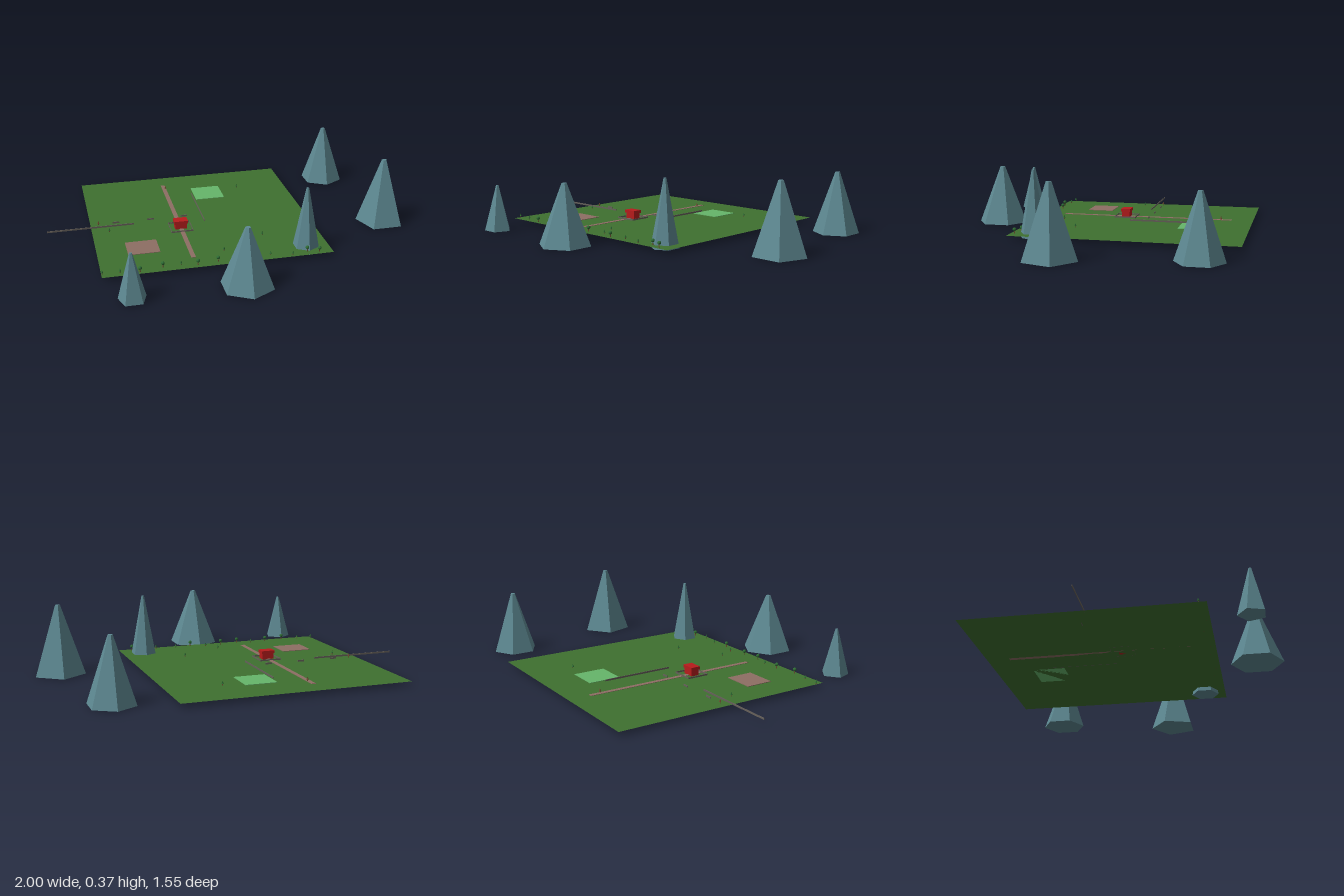
import * as THREE from 'three';

const mat = (color, extra = {}) => new THREE.MeshStandardMaterial({ color, flatShading: true, ...extra });
const rock = mat(0x5d8891), grass = mat(0x3f7030, { side: THREE.DoubleSide }), crop = mat(0x66b56a);
const soil = mat(0x8d6e63), stone = mat(0x66605a), red = mat(0xb71c1c), leaf = mat(0x2e6b34), bark = mat(0x6b4a2f);

const GROUND = 0.022;

function add(parent, name, geometry, material, x, y, z) {
  const mesh = new THREE.Mesh(geometry, material);
  mesh.name = name;
  mesh.position.set(x, y, z);
  parent.add(mesh);
  return mesh;
}

// Box resting on the ground
const slab = (parent, name, material, x, z, w, h, d, base = GROUND) =>
  add(parent, name, new THREE.BoxGeometry(w, h, d), material, x, base + h / 2, z);

// Small conifer: trunk and cone
function conifer(parent, name, x, z, foliage = leaf) {
  const tree = new THREE.Group();
  tree.name = name;
  tree.position.set(x, GROUND, z);
  add(tree, 'trunk', new THREE.CylinderGeometry(0.002, 0.002, 0.01, 5), bark, 0, 0.005, 0);
  add(tree, 'foliage', new THREE.ConeGeometry(0.006, 0.016, 6), foliage, 0, 0.016, 0);
  parent.add(tree);
}

// Small round tree: trunk and ball crown
function roundTree(parent, name, x, z) {
  const tree = new THREE.Group();
  tree.name = name;
  tree.position.set(x, GROUND, z);
  add(tree, 'trunk', new THREE.CylinderGeometry(0.002, 0.003, 0.018, 5), bark, 0, 0.009, 0);
  add(tree, 'crown', new THREE.IcosahedronGeometry(0.01, 1), leaf, 0, 0.023, 0);
  parent.add(tree);
}

export function createModel() {
  const model = new THREE.Group();
  model.name = 'farmLandscape';

  // Meadow
  const meadow = add(model, 'meadow', new THREE.PlaneGeometry(1.22, 1.21), grass, -0.15, GROUND, -0.175);
  meadow.rotation.x = -Math.PI / 2;

  // Road and fields
  slab(model, 'road', soil, -0.272, -0.17, 0.024, 0.002, 0.98);
  slab(model, 'ploughedField', soil, -0.515, 0.145, 0.17, 0.003, 0.148);
  slab(model, 'cropField', crop, -0.027, -0.488, 0.17, 0.003, 0.173);

  // Mountains: x, z, radius, height, sides
  const mountains = [
    [-0.063, 0.632, 0.14, 0.32, 6],
    [0.742, -0.612, 0.124, 0.333, 6],
    [0.867, 0.07, 0.139, 0.37, 5],
    [0.34, 0.318, 0.075, 0.355, 6],
    [-0.634, 0.633, 0.074, 0.25, 5],
  ];
  for (const [x, z, r, h, sides] of mountains) {
    const peak = add(model, 'mountain', new THREE.CylinderGeometry(r * 0.1, r, h, sides), rock, x, h / 2, z);
    peak.rotation.y = Math.PI;
  }

  // Long boundary walls and short wall pieces
  slab(model, 'westWall', stone, -0.76, -0.15, 0.48, 0.009, 0.003);
  slab(model, 'northWall', stone, -0.125, -0.295, 0.003, 0.009, 0.39);
  for (const x of [-0.617, -0.42, -0.228]) slab(model, 'wallPiece', stone, x, -0.19, 0.038, 0.009, 0.003);

  // Farmhouse with its yard fence
  const farm = new THREE.Group();
  farm.name = 'farmhouse';
  farm.position.set(-0.272, 0, -0.052);
  model.add(farm);
  slab(farm, 'houseBody', red, 0, 0, 0.066, 0.032, 0.044);
  slab(farm, 'houseRoof', red, 0, 0, 0.076, 0.016, 0.054, GROUND + 0.032);
  for (const s of [-1, 1]) {
    slab(farm, 'yardFence', stone, 0, s * 0.06, 0.123, 0.008, 0.002);
    slab(farm, 'yardFence', stone, s * 0.06, 0, 0.002, 0.008, 0.123);
  }

  // Tree row along the front edge: x, z, round crown
  const row = [
    [-0.755, 0.39, 0], [-0.665, 0.395, 0], [-0.565, 0.41, 1], [-0.445, 0.387, 1], [-0.35, 0.382, 0],
    [-0.265, 0.402, 1], [-0.157, 0.391, 1], [-0.055, 0.37, 0], [0.03, 0.405, 1], [0.125, 0.387, 0],
    [0.24, 0.41, 0], [0.325, 0.39, 1], [0.387, 0.408, 1],
  ];
  for (const [x, z, round] of row) (round ? roundTree : conifer)(model, 'rowTree', x, z);

  // Scattered shrubs
  for (const [x, z] of [[0.165, -0.53], [-0.665, -0.085], [0.145, 0.145], [-0.1, 0.278]]) conifer(model, 'shrub', x, z);
  for (const [x, z] of [[-0.265, -0.6], [-0.715, -0.19]]) conifer(model, 'dryShrub', x, z, bark);

  return model;
}
